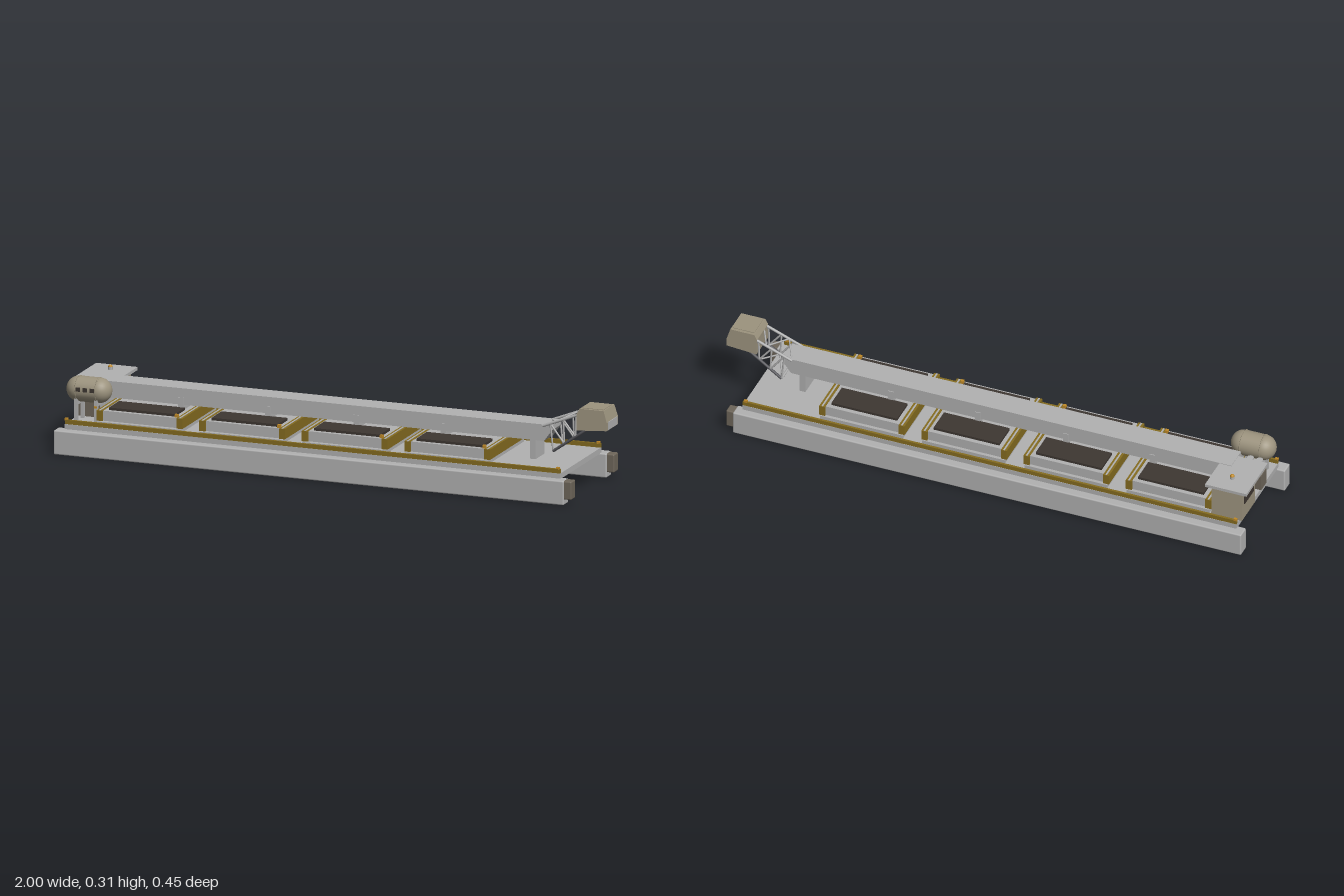
import * as THREE from 'three';
import { RoundedBoxGeometry } from 'three/addons/geometries/RoundedBoxGeometry.js';

export function createModel() {
  const root = new THREE.Group();
  root.name = 'conveyorBarge';
  const mat = (name, color) => {
    const m = new THREE.MeshStandardMaterial({ color });
    m.name = name;
    return m;
  };
  const grey = mat('light grey steel', 0xb2b2b2);
  const yellow = mat('mustard', 0x856c20);
  const beige = mat('beige housing', 0x9c937e);
  const brown = mat('brown fender', 0x6e665a);
  const dark = mat('dark grille', 0x3e3732);
  const strutGrey = mat('dark steel', 0x55555a);
  const orange = mat('amber lamp', 0xc08a28);

  const add = (name, geo, material, x = 0, y = 0, z = 0) => {
    const m = new THREE.Mesh(geo, material);
    m.name = name;
    m.position.set(x, y, z);
    root.add(m);
    return m;
  };
  // Box given by its extents on each axis
  const box = (name, material, x0, x1, y0, y1, z0, z1, r = 0) => add(name,
    r ? new RoundedBoxGeometry(x1 - x0, y1 - y0, z1 - z0, 2, r)
      : new THREE.BoxGeometry(x1 - x0, y1 - y0, z1 - z0),
    material, (x0 + x1) / 2, (y0 + y1) / 2, (z0 + z1) / 2);
  // Round bar between two points
  const bar = (name, material, a, b, r) => {
    const p = new THREE.Vector3(...a), q = new THREE.Vector3(...b);
    const d = q.clone().sub(p);
    const m = add(name, new THREE.CylinderGeometry(r, r, d.length(), 8), material);
    m.position.copy(p).add(q).multiplyScalar(0.5);
    m.quaternion.setFromUnitVectors(new THREE.Vector3(0, 1, 0), d.normalize());
    return m;
  };
  // Side outline in (u, y), extruded by depth and centred on it
  const prism = (pts, depth) => {
    const s = new THREE.Shape(pts.map(p => new THREE.Vector2(...p)));
    return new THREE.ExtrudeGeometry(s, { depth, bevelEnabled: false }).translate(0, 0, -depth / 2);
  };

  // Pontoons, fenders and deck rails
  for (const s of [1, -1]) {
    const zz = (a, b) => (s > 0 ? [a, b] : [-b, -a]);
    box('pontoon', grey, -1, 0.905, 0, 0.087, ...zz(0.178, 0.227), 0.005);
    box('pontoonFender', brown, 0.895, 0.932, 0.02, 0.086, ...zz(0.182, 0.222), 0.005);
    box('deckRail', yellow, -0.97, 0.88, 0.105, 0.12, ...zz(0.186, 0.195));
    for (const x of [-0.965, 0.87])
      box('railLamp', orange, x - 0.006, x + 0.006, 0.118, 0.126, ...zz(0.186, 0.195));
  }
  box('deck', grey, -0.97, 0.88, 0.085, 0.105, -0.196, 0.196);
  for (let i = 0; i < 8; i++) {
    const x = 0.78 - i * 0.233;
    box('crossBeam', grey, x - 0.011, x + 0.011, 0.05, 0.073, -0.18, 0.18);
  }

  // Four deck hatches with end walls and grilles
  for (let i = 0; i < 4; i++) {
    const x = -0.703 + i * 0.383;
    box('hatchPlinth', grey, x - 0.155, x + 0.155, 0.104, 0.12, -0.17, 0.175);
    box('hatchBody', grey, x - 0.14, x + 0.14, 0.12, 0.156, -0.158, 0.158);
    for (const s of [1, -1]) {
      const xe = x + s * 0.149;
      box('hatchEndWall', yellow, xe - 0.011, xe + 0.011, 0.12, 0.157, -0.165, 0.165);
      box('hatchEndInset', grey, xe - 0.003, xe + 0.003, 0.15, 0.1585, -0.163, 0.163);
      const zc = s * 0.094;
      box('hatchGrille', dark, x - 0.123, x + 0.123, 0.154, 0.165, zc - 0.048, zc + 0.048);
    }
    box('hatchLamp', orange, x + 0.127, x + 0.138, 0.155, 0.167, 0.142, 0.154);
  }

  // Conveyor trunk with brackets and end post
  add('conveyorTrunk', prism([[-0.89, 0.174], [0.76, 0.174], [0.79, 0.215], [0.79, 0.233], [-0.89, 0.233]], 0.09), grey);
  for (const x of [-0.595, -0.27, 0.06, 0.385])
    box('trunkBracket', grey, x - 0.01, x + 0.01, 0.155, 0.2, -0.048, 0.048);
  box('trunkEndPost', grey, 0.707, 0.728, 0.105, 0.2, -0.043, 0.043);
  box('trunkRearPost', grey, -0.89, -0.865, 0.105, 0.18, -0.04, 0.04);

  // Lattice boom
  const low = t => [0.795 + 0.125 * t, 0.142 + 0.088 * t];
  const high = t => [0.755 + 0.145 * t, 0.228 + 0.057 * t];
  for (const z of [0.046, -0.046]) {
    bar('boomLowerChord', strutGrey, [...low(0), z], [...low(1), z], 0.005);
    bar('boomUpperChord', grey, [...high(0), z], [...high(1), z], 0.005);
    for (let i = 0; i < 3; i++) {
      bar('boomUpright', grey, [...low(i / 3), z], [...high((i + 0.6) / 3), z], 0.0035);
      bar('boomDiagonal', grey, [...high((i + 0.6) / 3), z], [...low((i + 1) / 3), z], 0.0035);
    }
  }
  for (let i = 0; i < 3; i++) {
    const s = i % 2 ? 1 : -1;
    bar('boomLowerLacing', grey, [...low(i / 3), 0.046 * s], [...low((i + 1) / 3), -0.046 * s], 0.003);
    bar('boomUpperLacing', grey, [...high(i / 3), 0.046 * s], [...high((i + 1) / 3), -0.046 * s], 0.003);
  }
  bar('boomCrossBar', grey, [...low(0), -0.046], [...low(0), 0.046], 0.004);

  // Discharge head, narrowing slightly towards the top
  const head = prism([[0.885, 0.226], [0.998, 0.234], [0.998, 0.262], [0.985, 0.304], [0.895, 0.304], [0.885, 0.285]], 0.11);
  const hp = head.attributes.position;
  for (let i = 0; i < hp.count; i++)
    hp.setZ(i, hp.getZ(i) * (1 - 0.9 * (hp.getY(i) - 0.226)));
  head.computeVertexNormals();
  add('dischargeHead', head, beige);
  box('headFrontPanel', grey, 0.994, 1, 0.236, 0.264, -0.041, 0.041);
  box('headTopPlate', beige, 0.9, 0.98, 0.303, 0.306, -0.04, 0.04);

  // Fuel tank on a leg frame
  const tank = add('tank', new THREE.CapsuleGeometry(0.045, 0.075, 12, 28), beige, -0.908, 0.217, 0.119);
  tank.rotation.z = Math.PI / 2;
  for (const x of [-0.945, -0.871]) {
    const band = add('tankBand', new THREE.TorusGeometry(0.045, 0.0018, 6, 28), beige, x, 0.217, 0.119);
    band.rotation.y = Math.PI / 2;
    for (const z of [0.09, 0.148])
      box('tankLeg', grey, x - 0.006, x + 0.006, 0.105, 0.188, z - 0.006, z + 0.006);
    box('tankSaddle', grey, x - 0.006, x + 0.006, 0.166, 0.177, 0.084, 0.154);
  }
  for (let i = 0; i < 3; i++) {
    const x = -0.934 + i * 0.026;
    box('tankPort', dark, x - 0.008, x + 0.008, 0.217, 0.231, 0.157, 0.1655);
  }
  box('tankLamp', orange, -0.876, -0.866, 0.16, 0.168, 0.143, 0.156);

  // Pump beside the tank
  box('pumpBase', brown, -0.975, -0.9, 0.105, 0.165, 0.022, 0.07);
  for (const x of [-0.955, -0.92])
    add('pumpCylinder', new THREE.CylinderGeometry(0.012, 0.012, 0.045, 16), grey, x, 0.185, 0.058);

  // Control cabin: walls lean in towards the roof
  const cabin = prism([[0.05, 0.105], [0.17, 0.105], [0.164, 0.221], [0.05, 0.221]], 0.115);
  const cab = add('cabin', cabin, beige, -0.923, 0, 0);
  cab.rotation.y = Math.PI / 2;
  box('cabinRoof', grey, -1, -0.845, 0.22, 0.231, -0.177, -0.045);
  box('cabinRoofBridge', grey, -1, -0.89, 0.22, 0.231, -0.045, 0.02);
  box('cabinBackWindow', dark, -0.9835, -0.98, 0.165, 0.205, -0.15, -0.065);
  add('beaconBase', new THREE.CylinderGeometry(0.008, 0.008, 0.01, 16), grey, -0.92, 0.236, -0.11);
  add('beacon', new THREE.SphereGeometry(0.008, 16, 8, 0, Math.PI * 2, 0, Math.PI / 2), orange, -0.92, 0.241, -0.11);

  return root;
}
